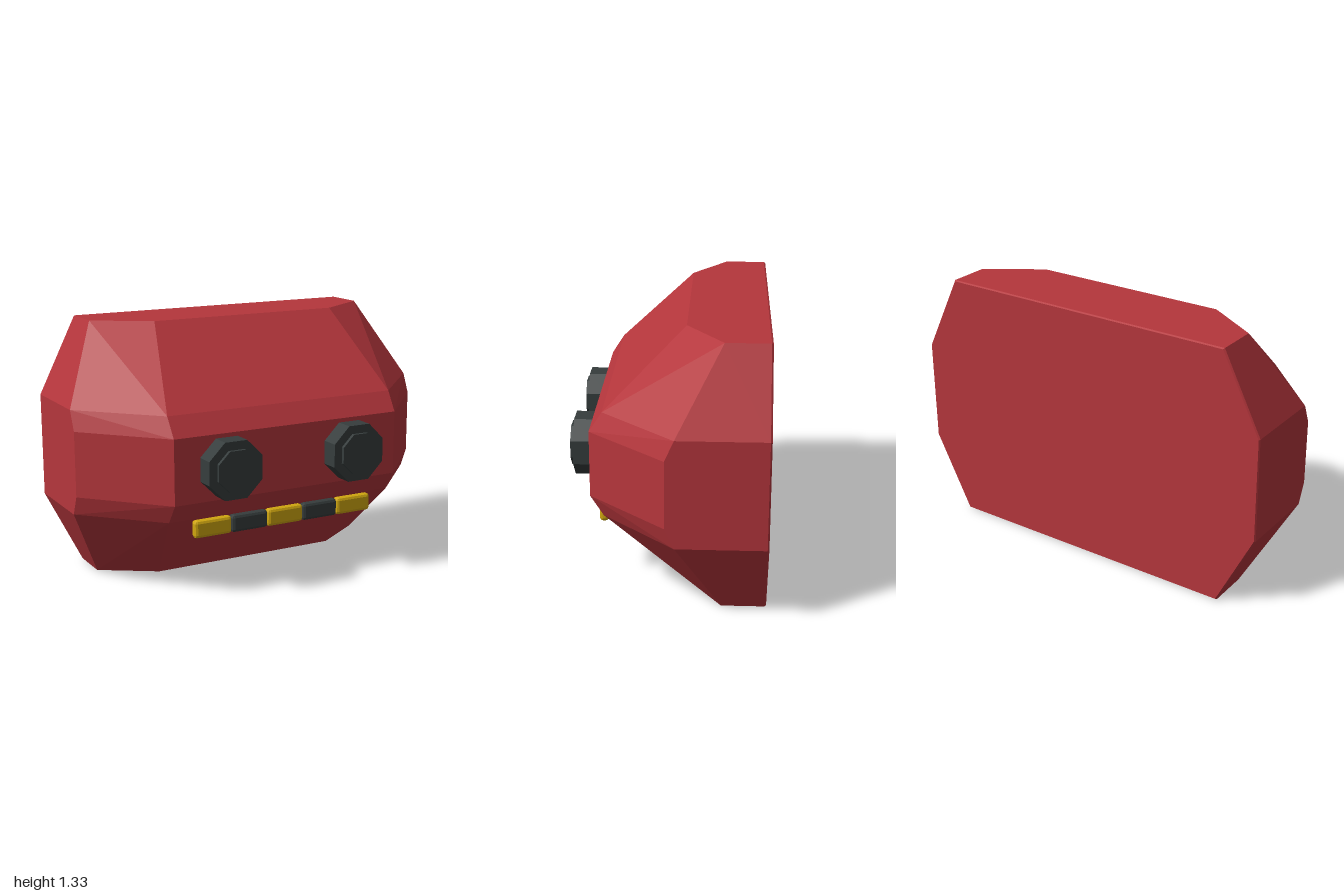
import * as THREE from 'three';
import { ConvexGeometry } from 'three/addons/geometries/ConvexGeometry.js';
import { RoundedBoxGeometry } from 'three/addons/geometries/RoundedBoxGeometry.js';

const MID_Y = 0.667;

function material(name, color) {
  const m = new THREE.MeshStandardMaterial({ color, flatShading: true });
  m.name = name;
  return m;
}

// Faceted shell: one quarter of the corners, mirrored left/right and top/bottom
function shellGeometry() {
  const quarter = [
    // x, half height, z
    [0.795, 0.662, -0.49], [0.995, 0.265, -0.49], // back outline, slightly bevelled
    [0.8, 0.667, -0.482], [1, 0.268, -0.482],
    [0.8, 0.667, -0.27], [0.52, 0.667, -0.09],    // top and bottom faces
    [1, 0.268, -0.05], [0.643, 0.268, 0.31],      // upper and lower brow edges
    [1, 0.167, -0.005], [0.64, 0.167, 0.375],     // front face and side face
  ];
  const points = [];
  for (const [x, h, z] of quarter)
    for (const sx of [-1, 1])
      for (const sy of [-1, 1]) points.push(new THREE.Vector3(sx * x, MID_Y + sy * h, z));
  return new ConvexGeometry(points);
}

// Octagonal disc facing +z, sized across its flats
function octagon(name, apothem, z0, z1, mat) {
  const r = apothem / Math.cos(Math.PI / 8);
  const geo = new THREE.CylinderGeometry(r, r, z1 - z0, 8);
  geo.rotateY(Math.PI / 8).rotateX(Math.PI / 2).translate(0, 0, (z0 + z1) / 2);
  const mesh = new THREE.Mesh(geo, mat);
  mesh.name = name;
  return mesh;
}

export function createModel() {
  const red = material('red', 0xb5363c);
  const dark = material('dark grey', 0x363d3d);
  const yellow = material('yellow', 0xd2a810);

  const model = new THREE.Group();
  model.name = 'head';

  const shell = new THREE.Mesh(shellGeometry(), red);
  shell.name = 'shell';
  model.add(shell);

  // Eyes: a wide housing with a smaller lens in front
  for (const side of [-1, 1]) {
    const eye = new THREE.Group();
    eye.name = side > 0 ? 'leftEye' : 'rightEye';
    eye.add(octagon('eyeHousing', 0.146, 0.36, 0.472, dark));
    eye.add(octagon('eyeLens', 0.103, 0.46, 0.49, dark));
    eye.position.set(side * 0.355, MID_Y, 0);
    model.add(eye);
  }

  // Mouth: a row of alternating chamfered blocks
  const mouth = new THREE.Group();
  mouth.name = 'mouth';
  for (let i = -2; i <= 2; i++) {
    const geo = new RoundedBoxGeometry(0.207, 0.092, 0.046, 1, 0.016);
    const block = new THREE.Mesh(geo, i % 2 === 0 ? yellow : dark);
    block.name = 'mouthBlock';
    block.position.set(i * 0.207, 0.35, 0.322);
    mouth.add(block);
  }
  model.add(mouth);

  return model;
}
